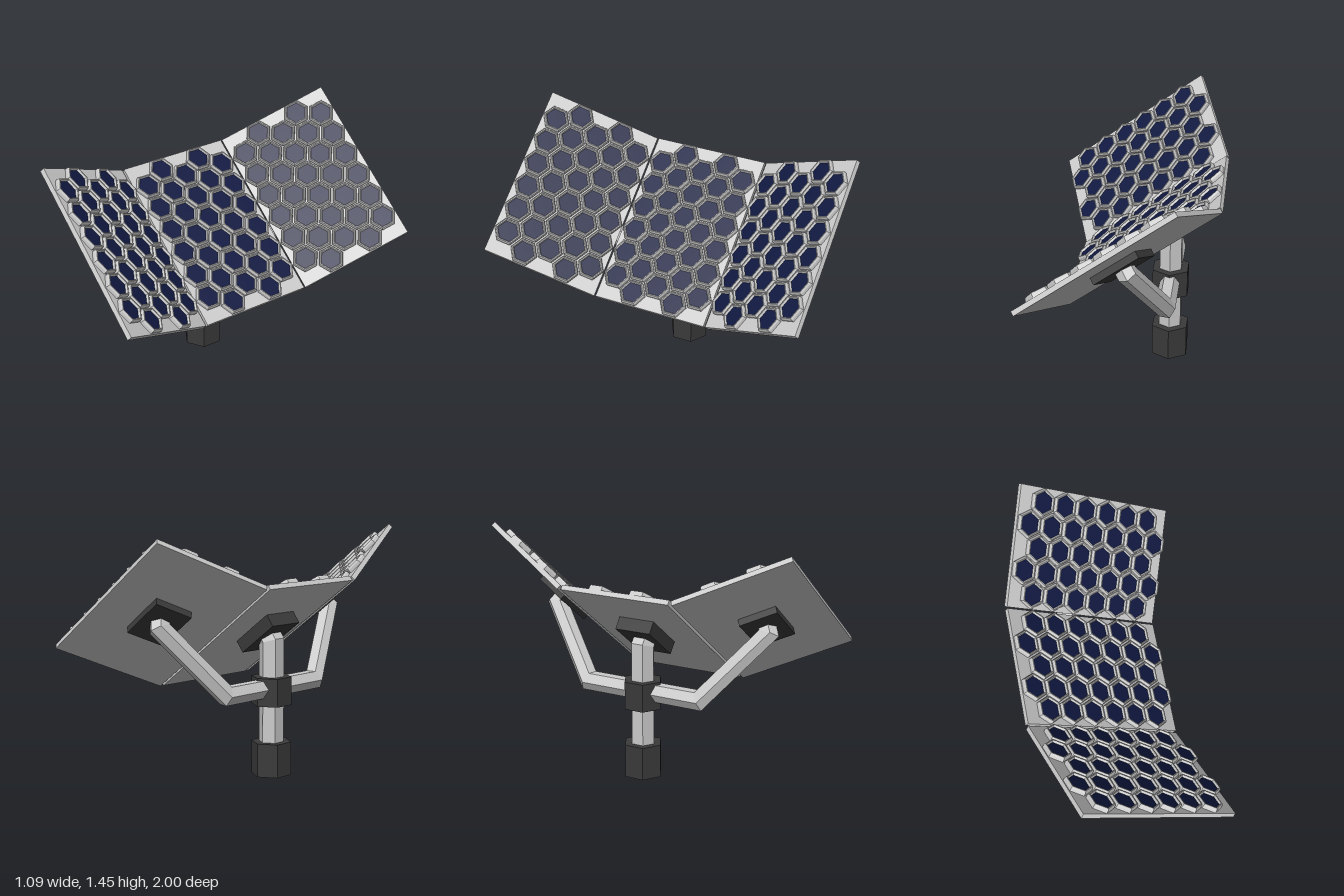
import * as THREE from 'three';

const mat = (color, side = THREE.FrontSide) =>
  new THREE.MeshStandardMaterial({ color, flatShading: true, side });
const grey = mat(0xcccccc);
const dark = mat(0x3a3a3a);
const blue = mat(0x111942);

const TILT = 0.637;          // slope of the whole panel array
const FOLD = 0.506;          // upward fold of the two wings
const PITCH = 0.155;         // spacing of the hexagonal cells
const LENGTH = 1.086, WIDTH = 0.71, THICK = 0.03;
const v = (x, y, z) => new THREE.Vector3(x, y, z);

function add(parent, name, geometry, material, x = 0, y = 0, z = 0) {
  const mesh = new THREE.Mesh(geometry, material);
  mesh.name = name;
  mesh.position.set(x, y, z);
  parent.add(mesh);
  return mesh;
}

// Six-sided bar along a path with mitred bends; a x b points along the first segment
function mitredBar(path, radius, a, b) {
  const dirs = path.slice(1).map((p, i) => p.clone().sub(path[i]).normalize());
  let ring = [];
  for (let i = 0; i < 6; i++) {
    const t = (i * Math.PI) / 3;
    ring.push(path[0].clone().addScaledVector(a, radius * Math.cos(t)).addScaledVector(b, radius * Math.sin(t)));
  }
  const rings = [ring];
  dirs.forEach((d, k) => {
    const plane = d.clone().add(dirs[k + 1] || d).normalize();
    ring = ring.map((p) => {
      const s = path[k + 1].clone().sub(p).dot(plane) / d.dot(plane);
      return p.clone().addScaledVector(d, s);
    });
    rings.push(ring);
  });
  const pts = [];
  for (let k = 0; k < rings.length - 1; k++) {
    for (let i = 0; i < 6; i++) {
      const j = (i + 1) % 6, lo = rings[k], hi = rings[k + 1];
      pts.push(lo[i], lo[j], hi[j], lo[i], hi[j], hi[i]);
    }
  }
  const first = rings[0], last = rings[rings.length - 1];
  for (let i = 1; i < 5; i++) {
    pts.push(first[0], first[i + 1], first[i], last[0], last[i], last[i + 1]);
  }
  const g = new THREE.BufferGeometry().setFromPoints(pts);
  g.computeVertexNormals();
  return g;
}

// Raised hexagonal rim and the cell set inside it
const rimGeometry = new THREE.LatheGeometry(
  [[0.083, 0], [0.083, 0.018], [0.077, 0.03], [0.07, 0.03], [0.064, 0.016]].map(([r, y]) => new THREE.Vector2(r, y)), 6);
const cellGeometry = new THREE.CylinderGeometry(0.066, 0.066, 0.017, 6);

function solarPanel(name) {
  const panel = new THREE.Group();
  panel.name = name;
  add(panel, 'panelBoard', new THREE.BoxGeometry(LENGTH, THICK, WIDTH), grey);
  for (let row = -2; row <= 2; row++) {
    const count = row % 2 === 0 ? 6 : 7;
    for (let i = 0; i < count; i++) {
      const x = (i - (count - 1) / 2) * PITCH;
      const z = row * PITCH * Math.sqrt(3) / 2;
      add(panel, 'cellRim', rimGeometry, grey, x, THICK / 2, z);
      add(panel, 'solarCell', cellGeometry, blue, x, THICK / 2 + 0.0085, z);
    }
  }
  return panel;
}

export function createModel() {
  const model = new THREE.Group();
  model.name = 'solarArray';
  const px = -0.225;

  // Tilted array: centre panel and two folded wings
  const array = new THREE.Group();
  array.name = 'panelArray';
  array.position.set(-0.095, 0.845, 0);
  array.rotation.z = -TILT;
  model.add(array);
  array.updateMatrix();

  array.add(solarPanel('centrePanel'));
  add(array, 'centreMount', new THREE.BoxGeometry(0.3, 0.08, 0.23), dark, -0.085, -0.053, 0);

  // Foot, post and collar
  add(model, 'foot', new THREE.CylinderGeometry(0.121, 0.121, 0.2, 6), dark, px, 0.1, 0);
  add(model, 'collar', new THREE.CylinderGeometry(0.121, 0.121, 0.168, 6), dark, px, 0.508, 0);
  const bend = v(px, 0.8, 0);
  const postTop = bend.clone().add(v(Math.sin(TILT), Math.cos(TILT), 0).multiplyScalar(0.05));
  add(model, 'post', mitredBar([v(px, 0.1, 0), bend, postTop], 0.075, v(0, 0, 1), v(1, 0, 0)), grey);

  for (const s of [1, -1]) {
    const side = s > 0 ? 'front' : 'back';

    // Wing panel with its mounting plate
    const wing = solarPanel(side + 'Wing');
    wing.position.set(0, 0.17, s * 0.683);
    wing.rotation.x = -s * FOLD;
    array.add(wing);
    add(wing, 'wingMount', new THREE.BoxGeometry(0.305, 0.045, 0.23), dark, -0.005, -0.035, 0);

    // Bent arm from the collar to the wing mount
    wing.updateMatrix();
    const onWing = (y) => v(-0.01, y, 0).applyMatrix4(wing.matrix).applyMatrix4(array.matrix);
    const path = [v(px, 0.525, 0), v(px, 0.525, s * 0.38), onWing(-0.085), onWing(-0.04)];
    add(model, side + 'Arm', mitredBar(path, 0.06, v(1, 0, 0), v(0, s, 0)), grey);
  }
  return model;
}
